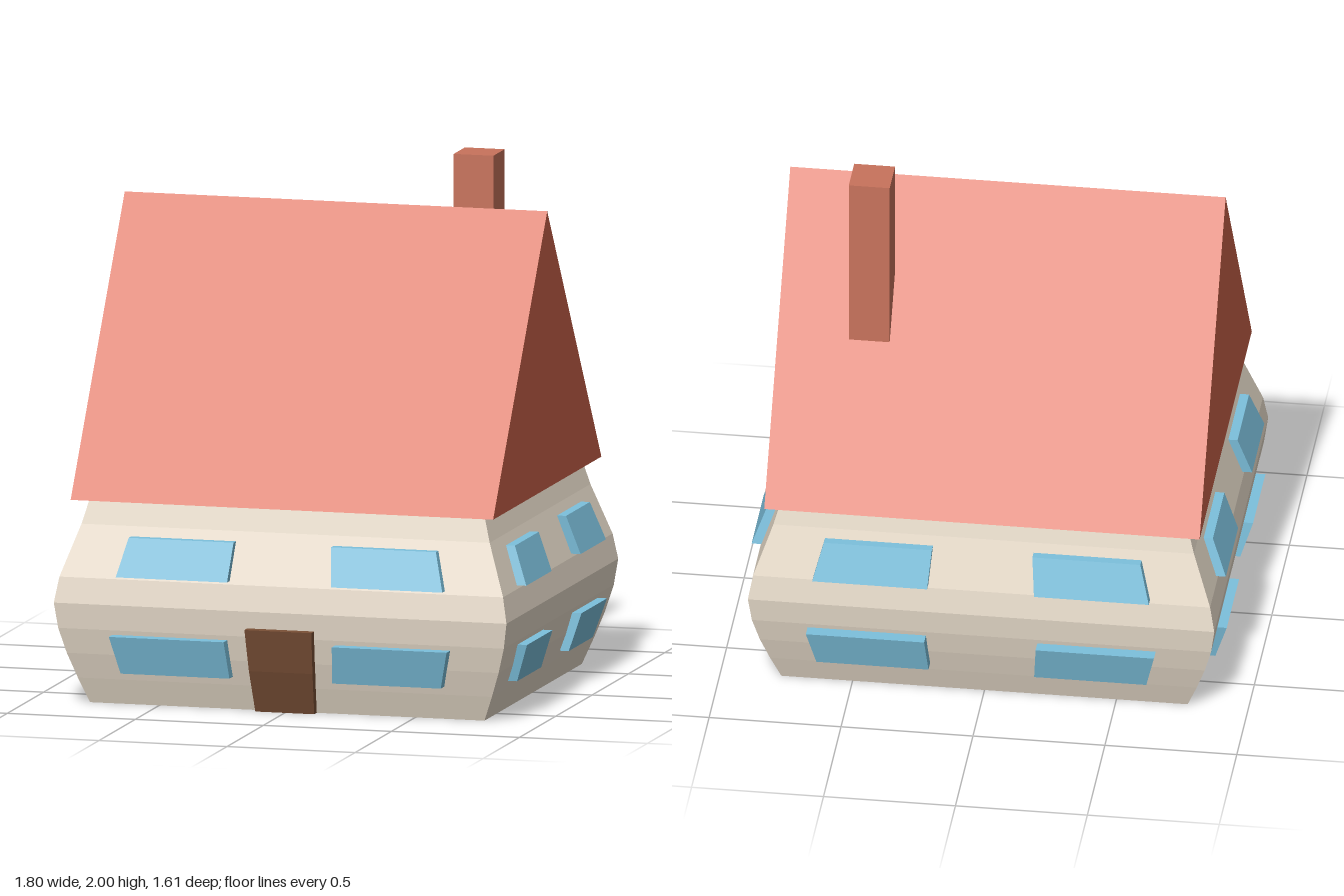
import * as THREE from 'three';

const mat = (color) => new THREE.MeshStandardMaterial({ color, flatShading: true });

// Horizontal swelling of the walls, at even steps from the ground to the eaves
const WALL_H = 0.78;
const SWELL = [1, 1.05, 1.095, 1.13, 1.148, 1.125, 1.08, 1.035, 1];

function swellAt(y) {
  const t = THREE.MathUtils.clamp(y / WALL_H, 0, 1) * (SWELL.length - 1);
  const i = Math.min(Math.floor(t), SWELL.length - 2);
  return THREE.MathUtils.lerp(SWELL[i], SWELL[i + 1], t - i);
}

// Box given by its limits, split into rows
function box([x0, x1], [y0, y1], [z0, z1], rows = 1) {
  const g = new THREE.BoxGeometry(x1 - x0, y1 - y0, z1 - z0, 1, rows, 1);
  return g.translate((x0 + x1) / 2, (y0 + y1) / 2, (z0 + z1) / 2);
}

// Push a geometry outwards so that it follows the swollen walls
function swell(g) {
  const p = g.attributes.position;
  for (let i = 0; i < p.count; i++) {
    const f = swellAt(p.getY(i));
    p.setX(i, p.getX(i) * f);
    p.setZ(i, p.getZ(i) * f);
  }
  g.computeVertexNormals();
  return g;
}

export function createModel() {
  const house = new THREE.Group();
  house.name = 'house';
  const add = (name, geometry, material) => {
    const mesh = new THREE.Mesh(geometry, material);
    mesh.name = name;
    house.add(mesh);
  };

  // Bulging walls
  add('walls', swell(box([-0.77, 0.77], [0, WALL_H], [-0.67, 0.67], 8)), mat(0xe8dccb));

  // Gabled roof, a closed triangular prism along x
  const gable = new THREE.Shape([
    new THREE.Vector2(-0.745, 0.78),
    new THREE.Vector2(0.745, 0.78),
    new THREE.Vector2(0, 1.835),
  ]);
  const roof = new THREE.ExtrudeGeometry(gable, { depth: 1.65, bevelEnabled: false });
  roof.translate(0, 0, -0.825).rotateY(Math.PI / 2);
  add('roof', roof, mat(0xd0654c));

  // Chimney on the rear slope
  add('chimney', box([0.4, 0.555], [1.2, 2], [-0.365, -0.21]), mat(0xc8735c));

  // Front door
  add('door', swell(box([-0.115, 0.115], [0, 0.325], [0.64, 0.705], 2)), mat(0x7a5036));

  // Two storeys of windows, two on each wall
  const glass = mat(0x7cc0dc);
  const storeys = [
    { name: 'lower', y: [0.13, 0.275], wide: [0.188, 0.587], z: 0.715 },
    { name: 'upper', y: [0.5, 0.645], wide: [0.181, 0.57], z: 0.702 },
  ];
  const span = (a, b, s) => (s > 0 ? [a, b] : [-b, -a]);
  for (const { name, y, wide, z } of storeys) {
    for (const face of [1, -1]) {
      for (const side of [1, -1]) {
        add(`${name}${face > 0 ? 'Front' : 'Back'}Window`,
          swell(box(span(...wide, side), y, span(0.64, z, face))), glass);
        add(`${name}${face > 0 ? 'Left' : 'Right'}Window`,
          swell(box(span(0.74, 0.803, face), y, span(0.178, 0.49, side))), glass);
      }
    }
  }
  return house;
}
